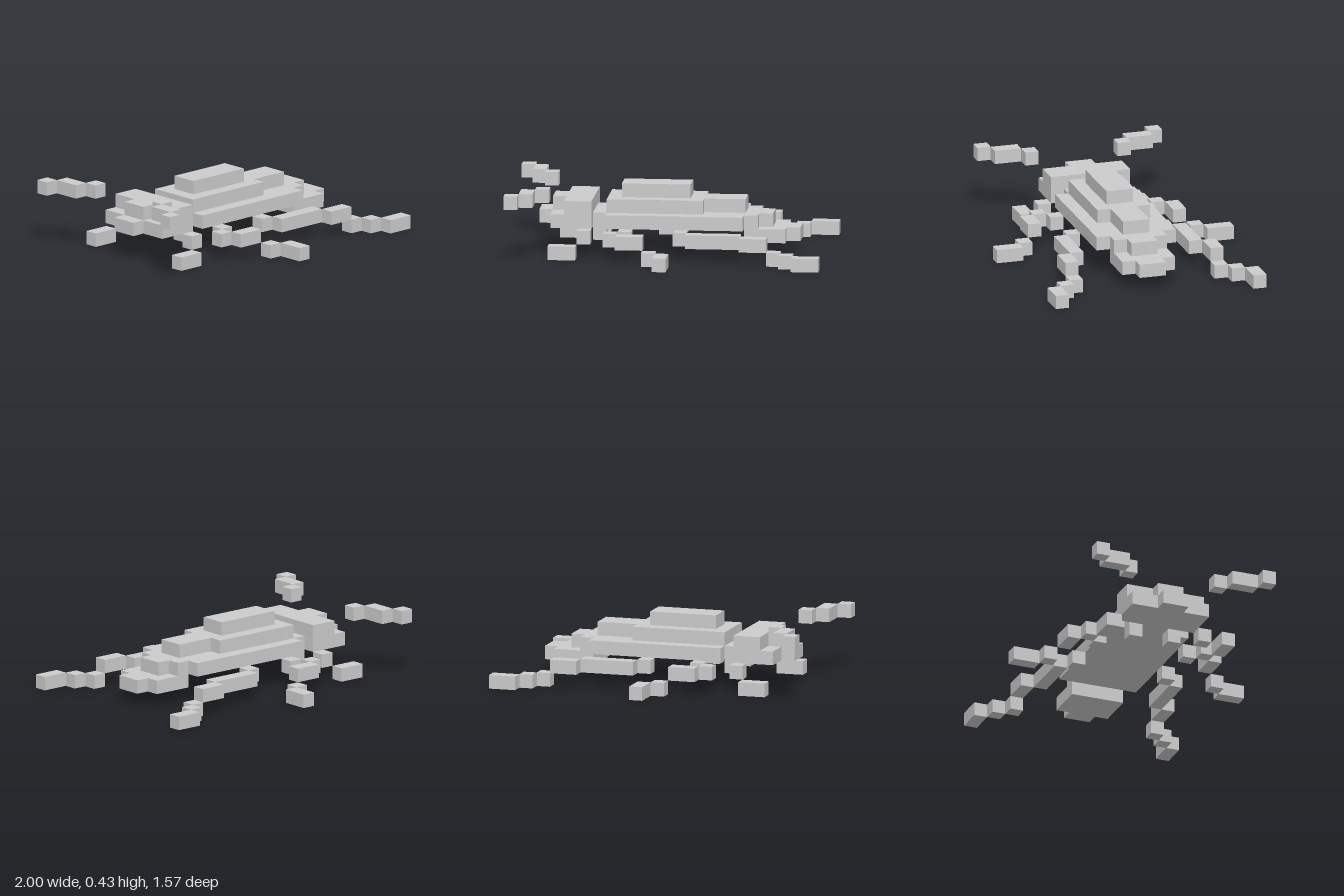
import * as THREE from 'three';

// One block cell: the model is 23 cells long, 18 wide and 5 high.
const U = 2 / 23;

export function createModel() {
  const model = new THREE.Group();
  const material = new THREE.MeshStandardMaterial({ color: 0xcccccc, flatShading: true });

  // Box given by its cell range on each axis; x counts from the head end.
  function block(parent, name, x0, x1, y0, y1, z0, z1) {
    const geometry = new THREE.BoxGeometry((x1 - x0) * U, (y1 - y0) * U, (z1 - z0) * U);
    const mesh = new THREE.Mesh(geometry, material);
    mesh.position.set(((x0 + x1) / 2) * U - 1, ((y0 + y1) / 2) * U, ((z0 + z1) / 2) * U);
    mesh.name = name;
    parent.add(mesh);
  }

  function part(name) {
    const group = new THREE.Group();
    group.name = name;
    model.add(group);
    return group;
  }

  // Stepped shell, widest at the bottom
  const shell = part('shell');
  block(shell, 'shellBase', 7, 17, 2, 3, -3, 3);
  block(shell, 'shellMiddle', 7, 14, 3, 4, -2, 2);
  block(shell, 'shellRidge', 14, 17, 3, 4, -1, 1);
  block(shell, 'shellTop', 8, 13, 4, 5, -1, 1);

  // Head with a short muzzle, joined by a narrow neck
  const head = part('head');
  block(head, 'neck', 6, 7, 2, 3, -2, 2);
  block(head, 'headBase', 3, 6, 2, 3, -3, 3);
  block(head, 'headCrown', 4, 6, 3, 4, -3, 3);
  block(head, 'brow', 3, 4, 3, 4, -1, 1);
  block(head, 'muzzle', 2, 3, 2, 3, -1, 1);

  // Tail stepping down and narrowing
  const tail = part('tail');
  block(tail, 'tailRoot', 17, 18, 2, 3, -2, 2);
  block(tail, 'tailRidge', 18, 19, 2, 3, -1, 1);
  block(tail, 'tailPlate', 17, 20, 1, 2, -2, 2);
  block(tail, 'tailTip', 20, 21, 1, 2, -1, 1);

  // Limb segments as [x0, x1, level, z0, z1], mirrored to both sides
  const limbs = {
    feeler: [[2, 3, 4, 3, 4], [1, 2, 4, 4, 6], [0, 1, 4, 6, 7]],
    frontLeg: [[6, 7, 1, 1, 2], [5, 6, 1, 3, 4], [3, 5, 0, 4, 5]],
    middleLeg: [[8, 9, 1, 3, 4], [7, 8, 1, 4, 5], [8, 10, 1, 5, 6], [10, 11, 0, 6, 7], [11, 12, 0, 7, 9]],
    rearLeg: [[12, 13, 1, 3, 4], [13, 17, 1, 4, 5], [17, 19, 1, 5, 6], [19, 20, 0, 5, 6], [20, 21, 0, 6, 7], [21, 23, 0, 7, 8]],
  };
  for (const [name, segments] of Object.entries(limbs)) {
    for (const side of [1, -1]) {
      const limb = part(name + (side > 0 ? 'Near' : 'Far'));
      segments.forEach(([x0, x1, y, z0, z1], i) => {
        const [a, b] = side > 0 ? [z0, z1] : [-z1, -z0];
        block(limb, `${name}Segment${i + 1}`, x0, x1, y, y + 1, a, b);
      });
    }
  }
  return model;
}
